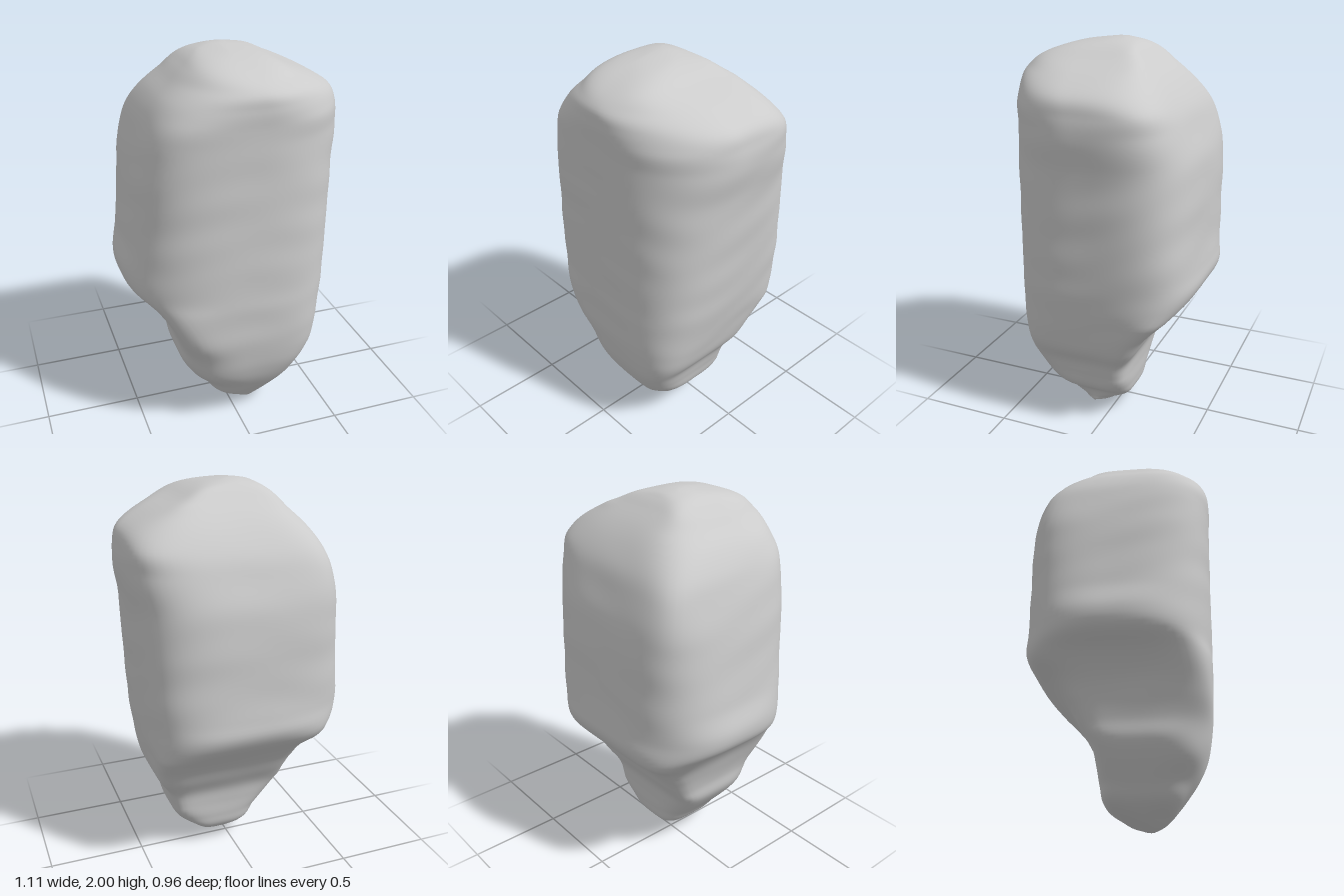
import * as THREE from 'three';

// Cross-section extents from bottom to top: [y, xMin, xMax, zMin, zMax]
const SECTIONS = [
  [0.00, 0.115, 0.145, 0.10, 0.14],
  [0.015, 0.07, 0.16, 0.04, 0.18],
  [0.04, 0.01, 0.165, -0.01, 0.22],
  [0.10, -0.09, 0.195, -0.09, 0.27],
  [0.18, -0.155, 0.295, -0.115, 0.325],
  [0.28, -0.235, 0.33, -0.125, 0.385],
  [0.36, -0.283, 0.355, -0.14, 0.415],
  [0.45, -0.295, 0.41, -0.19, 0.435],
  [0.55, -0.325, 0.44, -0.25, 0.45],
  [0.65, -0.37, 0.46, -0.34, 0.455],
  [0.75, -0.45, 0.478, -0.44, 0.46],
  [0.82, -0.535, 0.488, -0.477, 0.46],
  [0.90, -0.56, 0.495, -0.473, 0.463],
  [1.05, -0.53, 0.505, -0.463, 0.465],
  [1.25, -0.507, 0.518, -0.46, 0.468],
  [1.45, -0.483, 0.53, -0.443, 0.472],
  [1.60, -0.45, 0.553, -0.40, 0.475],
  [1.70, -0.415, 0.548, -0.36, 0.48],
  [1.79, -0.36, 0.515, -0.30, 0.483],
  [1.86, -0.29, 0.40, -0.235, 0.47],
  [1.92, -0.23, 0.26, -0.165, 0.39],
  [1.97, -0.165, 0.15, -0.10, 0.25],
  [1.99, -0.115, 0.08, -0.06, 0.15],
  [2.00, -0.06, 0.01, -0.01, 0.06],
];

// Reach of the four corners along the diagonals: [y, +x+z, -x+z, -x-z, +x-z]
const CORNERS = [
  [0.00, 0.19, 0.01, -0.14, 0.02],
  [0.10, 0.29, 0.20, 0.09, 0.17],
  [0.20, 0.39, 0.28, 0.155, 0.26],
  [0.30, 0.455, 0.37, 0.22, 0.31],
  [0.46, 0.53, 0.435, 0.325, 0.40],
  [0.56, 0.543, 0.49, 0.375, 0.46],
  [0.65, 0.55, 0.525, 0.44, 0.53],
  [0.75, 0.553, 0.55, 0.55, 0.555],
  [0.90, 0.555, 0.566, 0.572, 0.568],
  [1.20, 0.555, 0.56, 0.571, 0.568],
  [1.45, 0.553, 0.555, 0.568, 0.564],
  [1.62, 0.55, 0.54, 0.53, 0.56],
  [1.73, 0.545, 0.51, 0.455, 0.54],
  [1.86, 0.46, 0.41, 0.31, 0.385],
  [1.97, 0.24, 0.235, 0.155, 0.155],
  [2.00, 0.04, 0.07, 0.045, 0.01],
];
const SIGNS = [[1, 1], [-1, 1], [-1, -1], [1, -1]];
const ROWS = 130, SIDES = 96;

// Smooth interpolation of table rows by their first column
function smoothTable(rows) {
  const table = new THREE.CubicInterpolant(rows.map((r) => r[0]), rows.flatMap((r) => r.slice(1)), 4);
  return (y) => [...table.evaluate(y)];
}

// Superellipse exponent that makes a quarter reach the given distance diagonally
function cornerPower(rx, rz, reach) {
  let lo = 1.3, hi = 9;
  for (let i = 0; i < 24; i++) {
    const n = (lo + hi) / 2, q = n / (n - 1);
    const support = (rx ** q + rz ** q) ** (1 / q) * Math.SQRT1_2;
    if (support < reach) lo = n;
    else hi = n;
  }
  return lo;
}

function stoneGeometry() {
  const extents = smoothTable(SECTIONS), corners = smoothTable(CORNERS);
  const pos = [], index = [];

  // Stacked four-cornered rings with faint horizontal weathering
  for (let i = 0; i <= ROWS; i++) {
    const t = i / ROWS;
    const y = THREE.MathUtils.lerp(2 * t, 1 - Math.cos(Math.PI * t), 0.6);
    const [x0, x1, z0, z1] = extents(y), reach = corners(y);
    const cx = (x0 + x1) / 2, rx = (x1 - x0) / 2;
    const cz = (z0 + z1) / 2, rz = (z1 - z0) / 2;
    const powers = SIGNS.map(([sx, sz], k) =>
      cornerPower(rx, rz, reach[k] - (sx * cx + sz * cz) * Math.SQRT1_2));
    for (let j = 0; j < SIDES; j++) {
      const a = (j / SIDES) * Math.PI * 2, c = Math.cos(a), s = Math.sin(a);
      const n = powers[Math.floor((j * 4) / SIDES)];
      const wear = 1 + 0.003 * Math.sin(y * 28 + 2 * Math.sin(a * 2 + 1)) * Math.sin(a * 3 + y * 4);
      const r = wear * (Math.abs(c) ** n + Math.abs(s) ** n) ** (-1 / n);
      pos.push(cx + rx * r * c, y, cz + rz * r * s);
    }
  }
  for (let i = 0; i < ROWS; i++) {
    for (let j = 0; j < SIDES; j++) {
      const k = (j + 1) % SIDES;
      const a = i * SIDES + j, b = i * SIDES + k, c = a + SIDES, d = b + SIDES;
      index.push(a, c, b, b, c, d);
    }
  }

  // Closed tip and crown
  const tip = pos.length / 3, crown = tip + 1, last = ROWS * SIDES;
  pos.push(0.13, 0, 0.12, -0.025, 2, 0.025);
  for (let j = 0; j < SIDES; j++) {
    const k = (j + 1) % SIDES;
    index.push(tip, j, k, crown, last + k, last + j);
  }

  const geo = new THREE.BufferGeometry();
  geo.setAttribute('position', new THREE.Float32BufferAttribute(pos, 3));
  geo.setIndex(index);
  geo.computeVertexNormals();
  return geo;
}

export function createModel() {
  const group = new THREE.Group();
  group.name = 'rock';
  const stone = new THREE.Mesh(stoneGeometry(), new THREE.MeshStandardMaterial({ color: 0xcccccc }));
  stone.name = 'stone';
  group.add(stone);
  return group;
}
